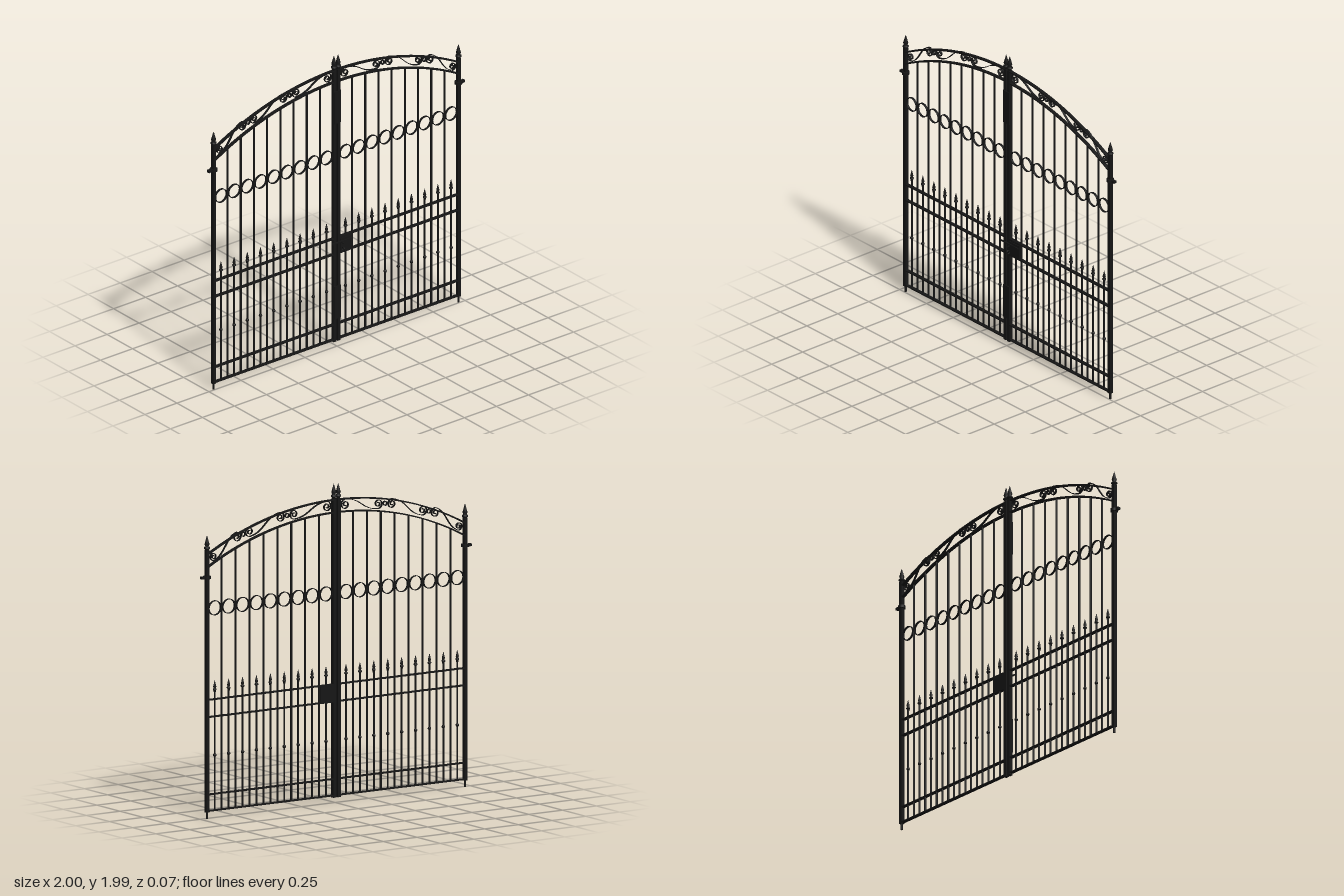
import * as THREE from 'three';

const Z = -0.01; // plane of the gate leaves
const R = 1.99; // radius of both arches
const archY = (x, crown) => crown - R + Math.sqrt(R * R - x * x);
const TOP = 1.884, LOW = 1.805;

export function createModel() {
  const root = new THREE.Group();
  root.name = 'doubleGate';
  const iron = new THREE.MeshStandardMaterial({ color: 0x161616 });
  iron.name = 'blackIron';

  const add = (parent, name, geo, x = 0, y = 0, z = Z) => {
    const m = new THREE.Mesh(geo, iron);
    m.name = name;
    m.position.set(x, y, z);
    parent.add(m);
    return m;
  };
  const box = (parent, name, w, h, d, x, y, z) =>
    add(parent, name, new THREE.BoxGeometry(w, h, d), x, y, z);

  // Upright round bar between two heights
  const bar = (parent, name, r, x, y0, y1) =>
    add(parent, name, new THREE.CylinderGeometry(r, r, y1 - y0, 8), x, (y0 + y1) / 2);

  // Flat iron strip bent along 2D points
  const strip = (pts, t, depth) => {
    const a = [], b = [];
    pts.forEach((p, i) => {
      const q = pts[Math.max(i - 1, 0)], n = pts[Math.min(i + 1, pts.length - 1)];
      const d = new THREE.Vector2().subVectors(n, q).normalize().multiplyScalar(t / 2);
      a.push(new THREE.Vector2(p.x - d.y, p.y + d.x));
      b.unshift(new THREE.Vector2(p.x + d.y, p.y - d.x));
    });
    const g = new THREE.ExtrudeGeometry(new THREE.Shape([...a, ...b]), { depth, bevelEnabled: false });
    return g.translate(0, 0, -depth / 2);
  };

  // Ring of flat iron
  const ring = (r, t, depth) => {
    const s = new THREE.Shape().absarc(0, 0, r, 0, Math.PI * 2);
    s.holes.push(new THREE.Path().absarc(0, 0, r - t, 0, Math.PI * 2, true));
    const g = new THREE.ExtrudeGeometry(s, { depth, bevelEnabled: false, curveSegments: 16 });
    return g.translate(0, 0, -depth / 2);
  };

  // Turned spear point; w is its widest radius, h its height
  const spear = (w, h) => new THREE.LatheGeometry([
    [0.6, 0], [0.6, 0.12], [1, 0.18], [1, 0.26], [0.55, 0.33],
    [0.85, 0.45], [0.6, 0.62], [0.2, 0.9], [0, 1],
  ].map(([x, y]) => new THREE.Vector2(x * w, y * h)), 10);

  // S-scroll: spiral A opens from its bottom, spiral B from its top
  const scroll = (ax, ay, ar, bx, by, br) => {
    const N = 40, turns = 1.6 * Math.PI * 2;
    const spiral = (cx, cy, r, a0) => Array.from({ length: N + 1 }, (_, i) => {
      const u = i / N, rr = r * (0.2 + 0.8 * u), a = a0 - turns * (1 - u);
      return new THREE.Vector2(cx + rr * Math.cos(a), cy + rr * Math.sin(a));
    });
    const A = spiral(ax, ay, ar, -Math.PI / 2);
    const B = spiral(bx, by, br, Math.PI / 2).reverse();
    const k = (bx - ax) * 0.5, s = (by - ay) / (bx - ax);
    const link = new THREE.CubicBezierCurve(
      A[N], new THREE.Vector2(A[N].x + k, A[N].y + k * s * 0.5),
      new THREE.Vector2(B[0].x - k, B[0].y - k * s * 0.5), B[0]).getPoints(16).slice(1, -1);
    return [...A, ...link, ...B];
  };

  const ringGeo = ring(0.046, 0.004, 0.014);
  const smallRing = ring(0.015, 0.004, 0.014);
  const barSpear = spear(0.012, 0.075);
  const postSpear = spear(0.019, 0.1);

  for (const side of [-1, 1]) {
    const leaf = new THREE.Group();
    leaf.name = side < 0 ? 'rightLeaf' : 'leftLeaf';
    root.add(leaf);

    // Posts with spear points and a foot
    box(leaf, 'outerPost', 0.022, 1.63, 0.024, side * 0.956, 0.855);
    bar(leaf, 'postFoot', 0.007, side * 0.956, 0, 0.05);
    add(leaf, 'outerPostSpear', postSpear, side * 0.956, 1.66);
    box(leaf, 'meetingPost', 0.022, 1.855, 0.024, side * 0.0165, 0.9625);
    add(leaf, 'meetingPostSpear', postSpear, side * 0.0165, 1.885);

    // Hinge collar and pin
    add(leaf, 'hingeCollar', new THREE.CylinderGeometry(0.024, 0.024, 0.018, 16), side * 0.956, 1.5);
    box(leaf, 'hingeArm', 0.05, 0.016, 0.02, side * 0.975, 1.5);

    // Flat rails
    for (const y of [0.048, 0.15, 0.631, 0.738]) {
      box(leaf, 'rail', 0.94, 0.008, 0.022, side * 0.486, y);
    }

    // Arched top rails
    for (const crown of [TOP, LOW]) {
      const pts = Array.from({ length: 33 }, (_, i) => {
        const x = side * (0.0165 + (0.94 * i) / 32);
        return new THREE.Vector2(x, archY(x, crown));
      });
      if (side < 0) pts.reverse();
      add(leaf, 'archRail', strip(pts, 0.008, 0.022));
    }

    // Short spear bars with knobs and rings, long bars between them
    for (let i = 0; i < 9; i++) {
      const x = side * (0.074 + i * 0.1031);
      bar(leaf, 'shortBar', 0.006, x, 0.045, 0.79);
      add(leaf, 'barSpear', barSpear, x, 0.782);
      add(leaf, 'barKnob', new THREE.SphereGeometry(0.011, 10, 8), x, 0.39);
      add(leaf, 'ring', ringGeo, x, 1.305);
      if (i < 8) {
        const lx = x + side * 0.0515;
        bar(leaf, 'longBar', 0.0065, lx, 0.045, archY(lx, LOW));
      }
    }

    // Scrollwork between the arches
    const scrolls = [
      [-0.908, 1.625, 0.026, -0.735, 1.727, 0.031],
      [-0.642, 1.752, 0.031, -0.414, 1.816, 0.031],
      [-0.312, 1.826, 0.031, -0.068, 1.847, 0.033],
    ];
    for (const s of scrolls) {
      const pts = scroll(...s);
      if (side > 0) {
        pts.forEach((p) => { p.x = -p.x; });
        pts.reverse();
      }
      add(leaf, 'scroll', strip(pts, 0.004, 0.014));
    }
    add(leaf, 'scrollRing', smallRing, side * 0.688, 1.74);
    add(leaf, 'scrollRing', smallRing, side * 0.363, 1.823);
  }

  // Cover plates over the meeting gap
  box(root, 'upperCoverPlate', 0.054, 0.22, 0.005, 0, 1.635, Z + 0.0145);
  box(root, 'lowerCoverPlate', 0.054, 0.222, 0.005, 0, 0.303, Z + 0.0145);

  // Lock case, sliding bolt and handle
  const lock = new THREE.Group();
  lock.name = 'lock';
  root.add(lock);
  box(lock, 'lockCase', 0.1, 0.104, 0.024, 0.073, 0.6845, Z);
  box(lock, 'lockPlate', 0.092, 0.09, 0.004, 0.073, 0.6845, Z + 0.014);
  box(lock, 'bolt', 0.16, 0.008, 0.008, 0.035, 0.71, Z + 0.018);
  box(lock, 'boltPeg', 0.006, 0.006, 0.025, 0.035, 0.7, 0.013);
  const handle = add(lock, 'handleRing', new THREE.TorusGeometry(0.012, 0.003, 8, 20), 0.035, 0.66, 0.019);
  handle.rotation.y = Math.PI / 2;

  return root;
}
